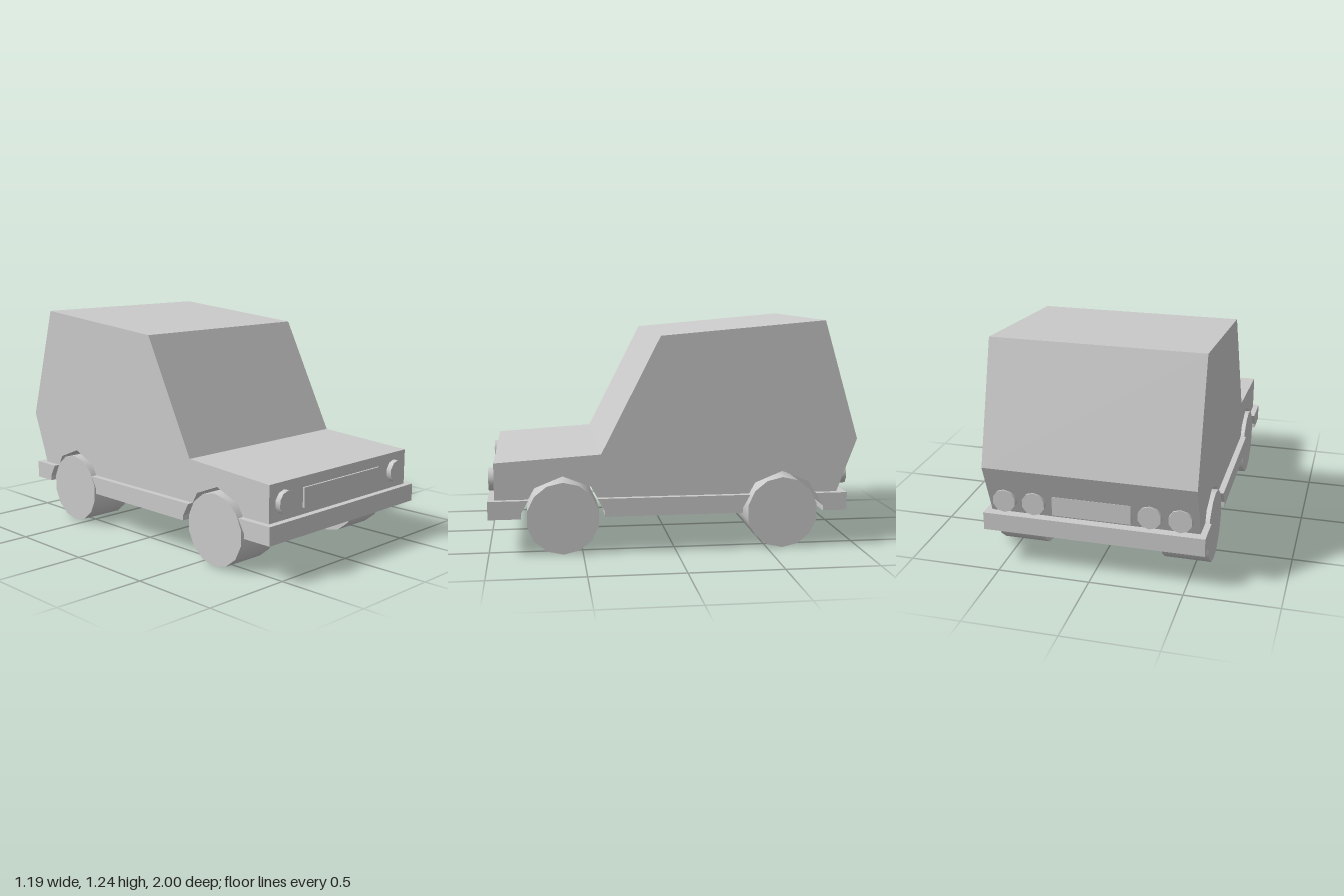
import * as THREE from 'three';

const material = new THREE.MeshStandardMaterial({ color: 0xcccccc });
const FRONT_AXLE = 0.605, REAR_AXLE = -0.585, AXLE_Y = 0.2;

function add(parent, name, geometry, x = 0, y = 0, z = 0) {
  const mesh = new THREE.Mesh(geometry, material);
  mesh.name = name;
  mesh.position.set(x, y, z);
  parent.add(mesh);
  return mesh;
}

// Side profile given as [z, y] points, extruded across the car's width
function sideExtrude(points, width) {
  const shape = new THREE.Shape(points.map(([z, y]) => new THREE.Vector2(z, y)));
  const geometry = new THREE.ExtrudeGeometry(shape, { depth: width, bevelEnabled: false });
  geometry.translate(0, 0, -width / 2);
  geometry.rotateY(-Math.PI / 2);
  return geometry;
}

// Wheel arch outline, listed from rear to front around an axle
const upperArch = (z) => [[-0.183, 0.305], [-0.15, 0.365], [0, 0.425], [0.15, 0.365], [0.183, 0.305]]
  .map(([dz, y]) => [z + dz, y]);

export function createModel() {
  const car = new THREE.Group();
  car.name = 'car';

  // Cabin and bonnet in one angular shell
  add(car, 'body', sideExtrude([
    [-0.89, 0.305], ...upperArch(REAR_AXLE), ...upperArch(FRONT_AXLE), [0.965, 0.305],
    [0.965, 0.503], [0.4, 0.538], [0.08, 1.163], [-0.81, 1.24], [-1, 0.595],
  ], 1.128));

  // Bumpers and sills form a slightly wider band, broken by the arches
  const band = new THREE.Group();
  band.name = 'bumpersAndSills';
  car.add(band);
  const low = 0.207, high = 0.305;
  const rearEdge = (z) => [[z - 0.183, high], [z - 0.222, 0.235], [z - 0.222, low]];
  const frontEdge = (z) => [[z + 0.222, low], [z + 0.222, 0.235], [z + 0.183, high]];
  add(band, 'rearBumper', sideExtrude([[-0.94, low], [-0.94, high], ...rearEdge(REAR_AXLE)], 1.194));
  add(band, 'sill', sideExtrude([...frontEdge(REAR_AXLE), ...rearEdge(FRONT_AXLE)], 1.194));
  add(band, 'frontBumper', sideExtrude([...frontEdge(FRONT_AXLE), [1, high], [1, low]], 1.194));

  // Axles and wheels
  const wheel = new THREE.CylinderGeometry(0.195, 0.195, 0.255, 14, 1, false, Math.PI / 2);
  wheel.rotateZ(Math.PI / 2);
  const axle = new THREE.CylinderGeometry(0.025, 0.025, 0.7, 12);
  axle.rotateZ(Math.PI / 2);
  for (const [end, z] of [['front', FRONT_AXLE], ['rear', REAR_AXLE]]) {
    add(car, end + 'Axle', axle, 0, AXLE_Y, z);
    for (const side of [-1, 1]) {
      add(car, end + (side > 0 ? 'Left' : 'Right') + 'Wheel', wheel, side * 0.457, AXLE_Y, z);
    }
  }

  // Headlights and paired tail lights
  const lamp = new THREE.CylinderGeometry(0.063, 0.063, 0.1, 10);
  lamp.rotateX(Math.PI / 2);
  for (const side of [-1, 1]) {
    add(car, 'headlight', lamp, side * 0.457, 0.4, 0.945);
    for (const x of [0.31, 0.47]) add(car, 'tailLight', lamp, side * x, 0.395, -0.905);
  }

  // Grille and rear plate
  add(car, 'grille', new THREE.BoxGeometry(0.626, 0.106, 0.04), 0, 0.393, 0.956);
  add(car, 'rearPlate', new THREE.BoxGeometry(0.42, 0.106, 0.06), 0, 0.393, -0.915);

  return car;
}
